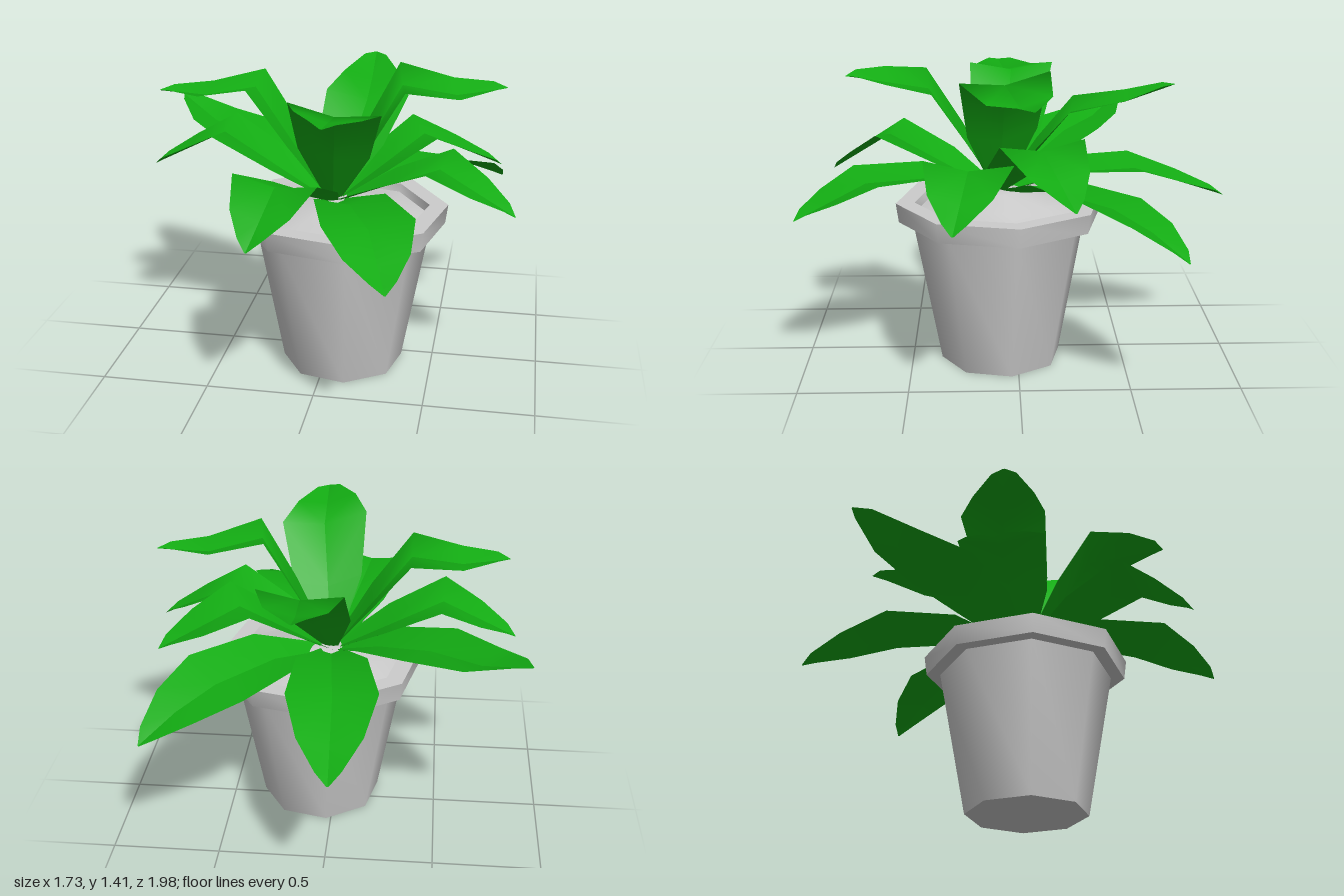
import * as THREE from 'three';
import { toCreasedNormals } from 'three/addons/utils/BufferGeometryUtils.js';

const grey = new THREE.MeshStandardMaterial({ color: 0xcccccc });
const green = new THREE.MeshStandardMaterial({ color: 0x13ac13, side: THREE.DoubleSide });

// Eight-sided turned part, smooth around and sharp at the profile corners
function turned(name, profile) {
  const points = profile.map(([r, y]) => new THREE.Vector2(r, y));
  const geometry = new THREE.LatheGeometry(points, 8, 0.17);
  const mesh = new THREE.Mesh(toCreasedNormals(geometry, 0.95), grey);
  mesh.name = name;
  return mesh;
}

// Folded leaf: rises from the base to a bend, then runs out to the tip.
// roll tilts the blade sideways, lift arches the lower part, sag lowers the outer part.
const BASE = new THREE.Vector3(0.02, 0.79, 0.08);
function leaf(name, bend, tip, roll = 0, lift = 0, sag = 0) {
  const b = new THREE.Vector3(...bend), t = new THREE.Vector3(...tip);
  const lower = BASE.clone().lerp(b, 0.5);
  lower.y += lift;
  const shoulder = b.clone().lerp(t, 0.52);
  shoulder.y -= sag;
  const nearTip = b.clone().lerp(t, 0.88);
  nearTip.y -= sag * 0.3;
  const spine = [BASE, lower, b, shoulder, nearTip, t];
  const halfWidths = [0.03, 0.16, 0.2, 0.14, 0.055, 0.004];
  const folds = [0.015, 0.04, 0.035, 0.03, 0.02, 0];
  const dir = t.clone().sub(BASE).setY(0).normalize();
  const side = new THREE.Vector3(-dir.z, 0, dir.x);

  const positions = [], index = [];
  for (const s of [1, -1]) {
    const start = positions.length / 3;
    spine.forEach((p, i) => {
      const edge = p.clone().addScaledVector(side, s * halfWidths[i]);
      edge.y += folds[i] + s * roll * halfWidths[i];
      positions.push(p.x, p.y, p.z, edge.x, edge.y, edge.z);
    });
    for (let i = 0; i < spine.length - 1; i++) {
      const a = start + i * 2, e = a + 1, c = a + 2, d = a + 3;
      if (s > 0) index.push(a, e, d, a, d, c);
      else index.push(a, d, e, a, c, d);
    }
  }
  const geometry = new THREE.BufferGeometry();
  geometry.setAttribute('position', new THREE.Float32BufferAttribute(positions, 3));
  geometry.setIndex(index);
  geometry.computeVertexNormals();
  const mesh = new THREE.Mesh(geometry, green);
  mesh.name = name;
  return mesh;
}

export function createModel() {
  const model = new THREE.Group();
  model.name = 'pottedPlant';

  // Pot, rim and soil
  const pot = new THREE.Group();
  pot.name = 'pot';
  pot.position.set(0.07, 0, 0.08);
  pot.add(
    turned('potBody', [[0, 0], [0.285, 0], [0.41, 0.69]]),
    turned('potRim', [[0.4, 0.69], [0.475, 0.69], [0.487, 0.78], [0.4, 0.78], [0.385, 0.73]]),
    turned('soil', [[0.4, 0.74], [0.24, 0.77], [0.1, 0.82], [0, 0.825]])
  );
  model.add(pot);

  const leaves = new THREE.Group();
  leaves.name = 'leaves';
  leaves.add(
    // Tall inner leaves
    leaf('tallFrontLeaf', [0.08, 1.3, 0.4], [0.09, 1.36, 0.77], 0.13, 0, 0),
    leaf('tallLeftLeaf', [0.33, 1.36, 0.06], [0.79, 1.34, -0.05], -0.1, 0, 0.04),
    leaf('tallBackLeaf', [0.13, 1.2, -0.24], [0.11, 1.32, -0.71], 0, 0, 0.02),
    leaf('tallRightLeaf', [-0.35, 1.31, 0.02], [-0.79, 1.29, 0.08], 0, 0, 0.03),
    // Arching middle leaves
    leaf('middleFrontLeaf', [-0.14, 1.04, 0.6], [-0.2, 0.86, 0.88]),
    leaf('middleRightLeaf', [-0.5, 1.09, 0.03], [-0.84, 0.92, 0.04]),
    leaf('middleBackLeftLeaf', [0.42, 1.09, -0.1], [0.78, 0.92, -0.22]),
    leaf('middleFrontLeftLeaf', [0.52, 1.03, 0.22], [0.86, 0.85, 0.28]),
    // Low outer leaves
    leaf('lowFrontLeaf', [0.27, 0.91, 0.68], [0.38, 0.77, 0.99], 0, 0.05, 0),
    leaf('lowBackLeftLeaf', [0.49, 0.85, -0.4], [0.78, 0.7, -0.69], 0.15, 0.04, -0.02),
    leaf('lowBackLeaf', [-0.04, 0.89, -0.56], [-0.06, 0.75, -0.99], 0, 0.04, 0),
    leaf('lowBackRightLeaf', [-0.45, 0.98, -0.25], [-0.87, 1.09, -0.56], 0, 0.02, 0.03)
  );
  model.add(leaves);
  return model;
}
